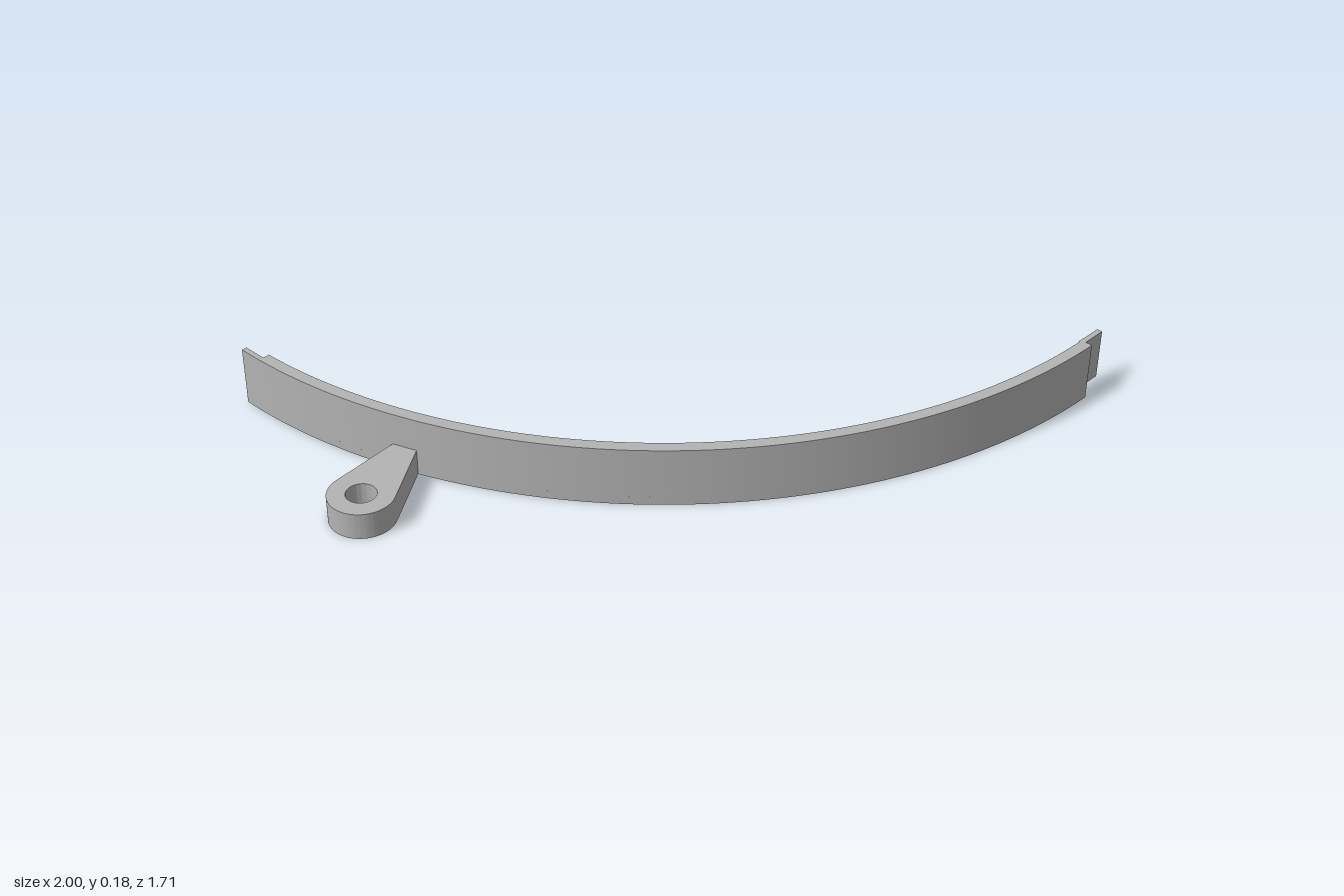
import * as THREE from 'three';
import { toCreasedNormals } from 'three/addons/utils/BufferGeometryUtils.js';

export function createModel() {
  const group = new THREE.Group();
  const grey = new THREE.MeshStandardMaterial({ color: 0xb4b4b4 });
  grey.name = 'plain grey';

  // Centre of the quarter arc in plan
  const cx = 0.92, cz = -0.857;

  // Extrudes a plan shape (x, z) upward between two heights
  const addSlab = (name, shape, y0, y1) => {
    let geo = new THREE.ExtrudeGeometry(shape, { depth: y1 - y0, bevelEnabled: false, curveSegments: 72 });
    geo.rotateX(Math.PI / 2).translate(0, y1, 0);
    geo = toCreasedNormals(geo, 0.5);
    const mesh = new THREE.Mesh(geo, grey);
    mesh.name = name;
    group.add(mesh);
  };

  const arcBand = (inner, outer, a0, a1) => {
    const s = new THREE.Shape();
    s.absarc(cx, cz, outer, a0, a1, false);
    s.absarc(cx, cz, inner, a1, a0, true);
    s.closePath();
    return s;
  };

  // Flat base with inner ledge, upright wall, thin lap at the back end
  const start = Math.PI / 2, end = Math.PI, lap = end - 0.045;
  addSlab('baseLedge', arcBand(1.64, 1.71, start, end), 0, 0.025);
  addSlab('curvedWall', arcBand(1.674, 1.71, start, lap), 0.025, 0.18);
  addSlab('endLap', arcBand(1.694, 1.71, lap, end), 0.025, 0.18);

  // Joining tongue at the front end
  const tongue = new THREE.Mesh(new THREE.BoxGeometry(0.09, 0.155, 0.017), grey);
  tongue.name = 'joiningTongue';
  tongue.position.set(0.955, 0.1025, 0.823);
  group.add(tongue);

  // Tapered mounting lug with a round eye, its tip passing through the wall
  const ex = -0.906, ez = -0.198, r = 0.094;
  const lug = new THREE.Shape();
  lug.moveTo(-0.645, -0.314);
  lug.lineTo(-0.634, -0.258);
  lug.lineTo(-0.66, -0.251);
  lug.absarc(ex, ez, r, 0.97, Math.PI * 1.5 - 0.1, false);
  lug.lineTo(-0.67, -0.314);
  lug.closePath();
  const eye = new THREE.Path();
  eye.absarc(ex, ez, 0.043, 0, Math.PI * 2, true);
  lug.holes.push(eye);
  addSlab('mountingLug', lug, 0, 0.08);

  return group;
}
